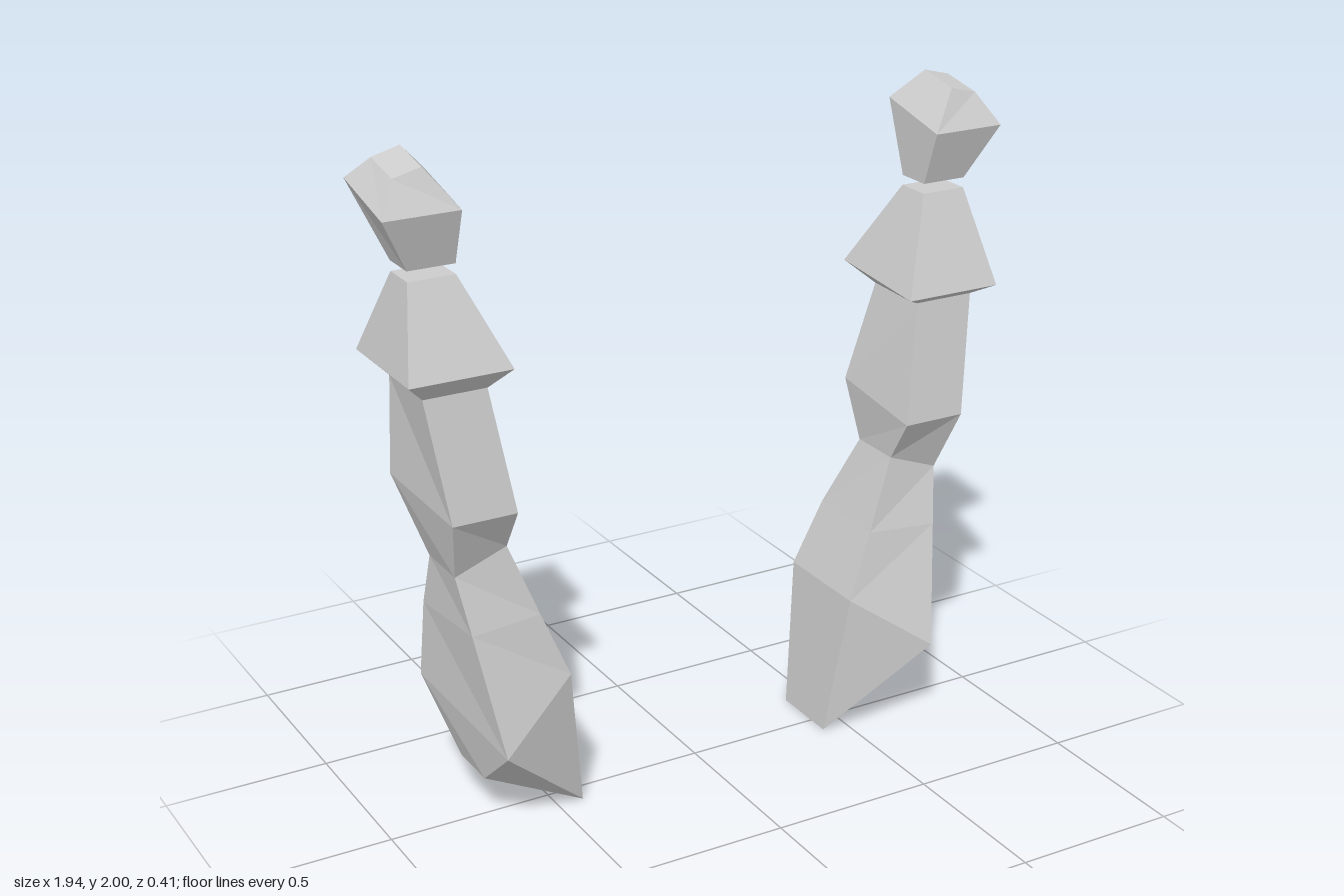
import * as THREE from 'three';

const material = new THREE.MeshStandardMaterial({ color: 0xcccccc, flatShading: true });

// Lofts four-cornered rows from bottom to top.
// Corner order: outer front, outer back, inner back, inner front.
function loft(name, rows, side, capBottom, capTop) {
  const positions = [];
  const tri = (a, b, c) => {
    for (const p of side > 0 ? [a, b, c] : [a, c, b]) positions.push(p[0] * side, p[1], p[2]);
  };
  for (let i = 0; i < rows.length - 1; i++) {
    for (let j = 0; j < 4; j++) {
      const k = (j + 1) % 4;
      const [a, b, c, d] = [rows[i][j], rows[i][k], rows[i + 1][k], rows[i + 1][j]];
      tri(a, b, c);
      tri(a, c, d);
    }
  }
  const cap = ([a, b, c, d]) => { tri(a, b, c); tri(a, c, d); };
  if (capBottom) cap([...rows[0]].reverse());
  if (capTop) cap(rows[rows.length - 1]);
  const geometry = new THREE.BufferGeometry();
  geometry.setAttribute('position', new THREE.Float32BufferAttribute(positions, 3));
  geometry.computeVertexNormals();
  const mesh = new THREE.Mesh(geometry, material);
  mesh.name = name;
  return mesh;
}

// Rectangular row whose front and back edges may sit at different heights
function rect(inner, outer, front, back, yFront, yBack = yFront) {
  return [[outer, yFront, front], [outer, yBack, back], [inner, yBack, back], [inner, yFront, front]];
}

function createArm(side) {
  const arm = new THREE.Group();
  arm.name = side > 0 ? 'leftArm' : 'rightArm';

  const elbow = [[0.80, 0.81, 0.07], [0.80, 0.81, -0.10], [0.64, 0.87, -0.10], [0.64, 0.87, 0.07]];
  const wrist = rect(0.695, 0.885, 0.10, -0.12, 1.36);

  // Upper arm, from the slanted shoulder end to the elbow
  arm.add(loft('upperArm', [
    [[0.72, 0.14, 0.04], [0.72, 0.14, -0.12], [0.42, 0.0, -0.15], [0.42, 0.0, 0.07]],
    [[0.72, 0.28, 0.205], [0.80, 0.39, -0.205], [0.475, 0.45, -0.205], [0.475, 0.45, 0.12]],
    [[0.774, 0.64, 0.114], [0.80, 0.64, -0.16], [0.56, 0.65, -0.18], [0.555, 0.65, 0.096]],
    elbow,
  ], side, true, false));

  // Forearm
  arm.add(loft('forearm', [
    elbow,
    [[0.835, 1.0, 0.15], [0.885, 1.06, -0.15], [0.615, 1.06, -0.15], [0.64, 1.0, 0.15]],
    wrist,
  ], side, false, false));

  // Flared cuff; its front rim dips on one arm only
  arm.add(loft('cuff', [
    wrist,
    rect(0.637, 0.943, 0.15, -0.205, side > 0 ? 1.39 : 1.418, 1.418),
    rect(0.747, 0.887, 0.04, -0.07, 1.67),
  ], side, false, true));

  // Fist floating above the cuff
  arm.add(loft('fist', [
    rect(0.747, 0.887, 0.04, -0.07, 1.70),
    rect(0.747, 0.972, 0.095, -0.152, 1.86, 1.917),
    [[0.915, 1.953, 0.04], [0.915, 1.978, -0.097], [0.832, 2.0, -0.097], [0.832, 1.974, 0.04]],
  ], side, true, true));

  return arm;
}

export function createModel() {
  const model = new THREE.Group();
  model.name = 'pairOfArms';
  for (const side of [1, -1]) model.add(createArm(side));
  return model;
}
